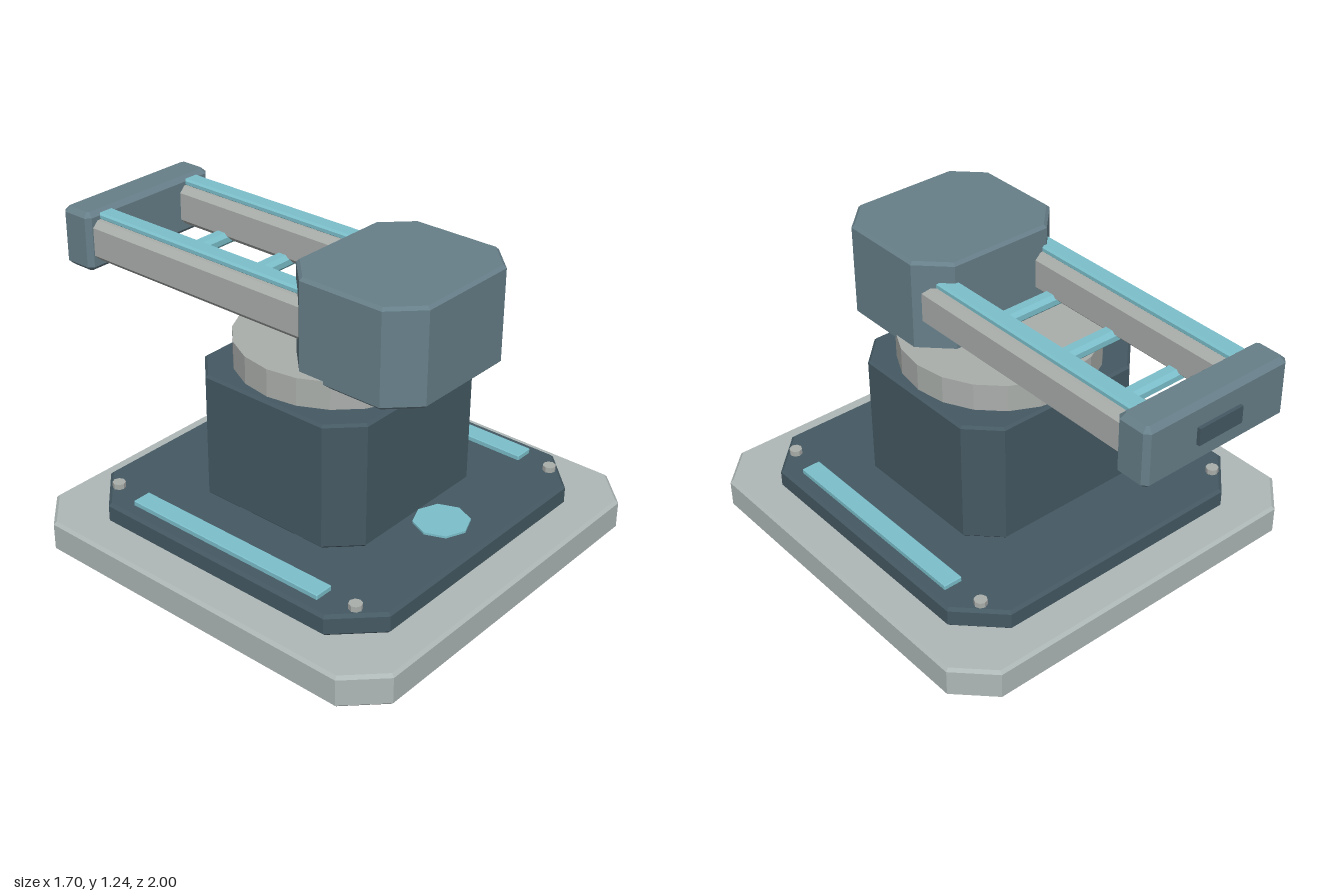
import * as THREE from 'three';

const material = (name, color) => {
  const m = new THREE.MeshStandardMaterial({ color });
  m.name = name;
  return m;
};

// Rectangle outline with cut corners
function cutRect(w, h, c) {
  const x = w / 2, y = h / 2;
  return new THREE.Shape([
    [x - c, -y], [x, -y + c], [x, y - c], [x - c, y],
    [-x + c, y], [-x, y - c], [-x, -y + c], [-x + c, -y],
  ].map(([a, b]) => new THREE.Vector2(a, b)));
}

// Upright block between y0 and y1, with cut corners and bevelled top and bottom rims
function block(w, d, y0, y1, cut, bevel) {
  const geo = new THREE.ExtrudeGeometry(cutRect(w, d, cut), {
    depth: y1 - y0 - 2 * bevel,
    bevelEnabled: true, bevelSegments: 1,
    bevelThickness: bevel, bevelSize: bevel, bevelOffset: -bevel,
  });
  geo.rotateX(-Math.PI / 2);
  geo.translate(0, y0 + bevel, 0);
  return geo;
}

export function createModel() {
  const group = new THREE.Group();
  const paleGrey = material('paleGrey', 0xaeb8b7);
  const metalGrey = material('metalGrey', 0xaaaeab);
  const darkSlate = material('darkSlate', 0x455963);
  const midSlate = material('midSlate', 0x677f89);
  const cyan = material('cyan', 0x7cc0cc);
  for (const m of [metalGrey, darkSlate, cyan]) m.flatShading = true;

  const add = (name, geo, mat, x = 0, y = 0, z = 0) => {
    const mesh = new THREE.Mesh(geo, mat);
    mesh.name = name;
    mesh.position.set(x, y, z);
    group.add(mesh);
  };

  // Stepped base
  add('basePlate', block(1.7, 1.7, 0, 0.132, 0.14, 0.012), paleGrey, 0, 0, 0.15);
  add('deck', block(1.42, 1.41, 0.132, 0.22, 0.165, 0.012), darkSlate, 0, 0, 0.147);

  // Tower, turntable and head
  add('tower', block(0.85, 0.795, 0.236, 0.755, 0.115, 0.01), darkSlate, 0, 0, 0.15);
  add('turntable', new THREE.CylinderGeometry(0.4, 0.4, 0.112, 20), metalGrey, 0, 0.814, 0.15);
  add('head', block(0.672, 0.595, 0.845, 1.237, 0.115, 0.012), midSlate, 0, 0, 0.433);

  // Front marker disc
  add('markerDisc', new THREE.CylinderGeometry(0.11, 0.11, 0.009, 8), cyan, 0, 0.245, 0.66);

  // Mirrored deck fittings and arm rails
  const rail = new THREE.ExtrudeGeometry(cutRect(0.145, 0.167, 0.025), { depth: 1.15, bevelEnabled: false });
  for (const s of [1, -1]) {
    add('deckStrip', block(0.08, 0.92, 0.219, 0.242, 0.003, 0.003), cyan, s * 0.615, 0, 0.15);
    for (const z of [-0.45, 0.74]) {
      add('deckBolt', new THREE.CylinderGeometry(0.026, 0.026, 0.025, 8), metalGrey, s * 0.6, 0.23, z);
    }
    add('armRail', rail, metalGrey, s * 0.238, 1.047, -0.85);
    add('railStrip', block(0.072, 1.15, 1.125, 1.155, 0.003, 0.008), cyan, s * 0.235, 0, -0.275);
  }

  // Cross bars joining the rails
  for (const z of [-0.608, -0.278, 0.052]) {
    add('crossBar', block(0.46, 0.068, 0.945, 1.0, 0.004, 0.016), cyan, 0, 0, z);
  }

  // Rear end block and its plate
  add('endBlock', block(0.67, 0.15, 0.92, 1.167, 0.02, 0.02), midSlate, 0, 0, -0.911);
  add('endPlate', new THREE.BoxGeometry(0.205, 0.07, 0.02), darkSlate, 0, 1.04, -0.99);

  return group;
}
